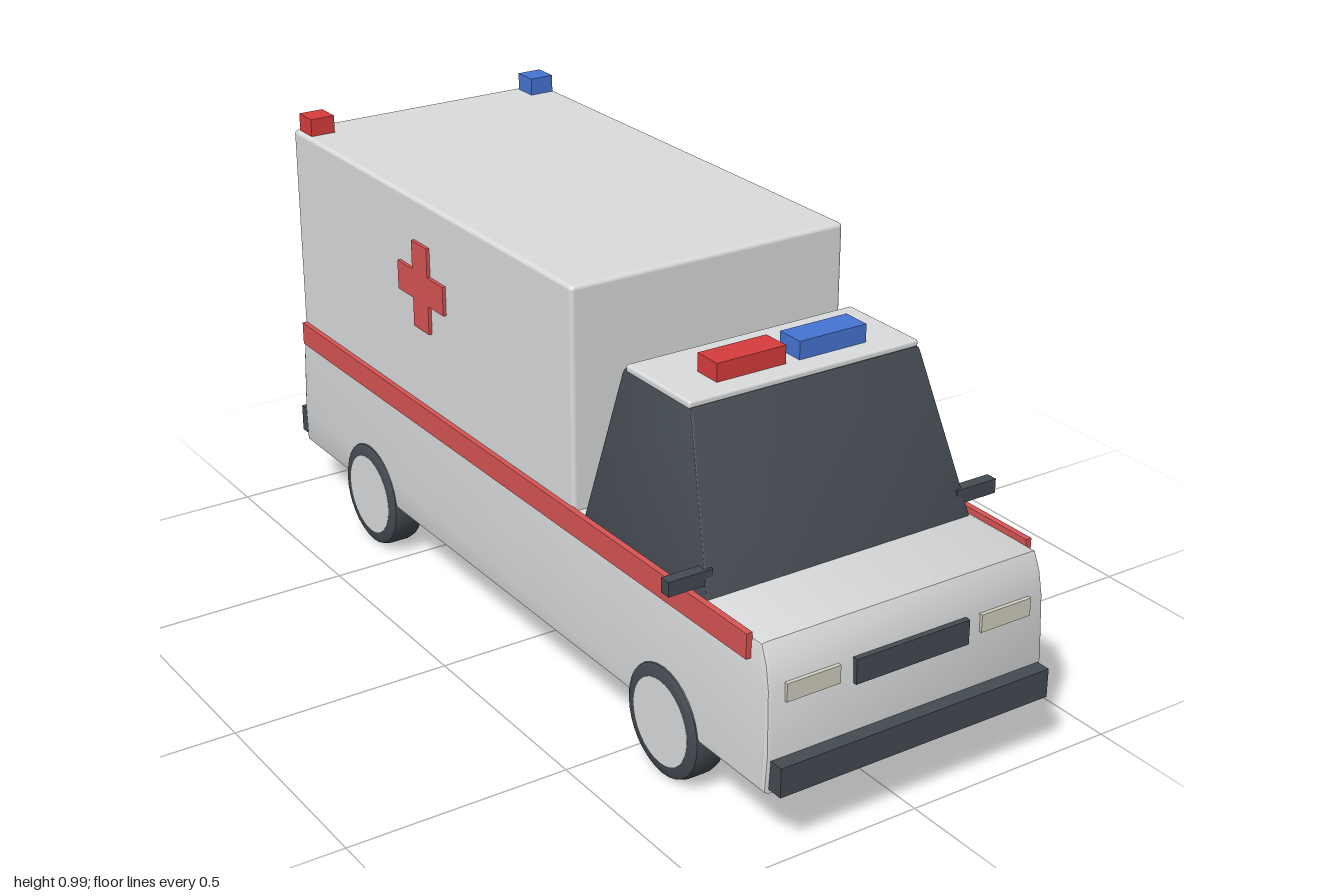
import * as THREE from 'three';
import { RoundedBoxGeometry } from 'three/addons/geometries/RoundedBoxGeometry.js';
import { toCreasedNormals } from 'three/addons/utils/BufferGeometryUtils.js';

const material = (name, color) => {
  const m = new THREE.MeshStandardMaterial({ color });
  m.name = name;
  return m;
};

export function createModel() {
  const white = material('white paint', 0xdadbdc);
  const dark = material('dark glass and rubber', 0x444b52);
  const red = material('signal red', 0xd83c3c);
  const stripeRed = material('marking red', 0xd85454);
  const blue = material('signal blue', 0x4674d2);
  const cream = material('headlight cream', 0xd2d0c0);

  const model = new THREE.Group();
  model.name = 'ambulance';

  const add = (name, geometry, mat, parent = model) => {
    const mesh = new THREE.Mesh(geometry, mat);
    mesh.name = name;
    parent.add(mesh);
    return mesh;
  };
  // Box given by its extents on each axis
  const box = (name, mat, [x0, x1], [y0, y1], [z0, z1], round = 0) => {
    const size = [x1 - x0, y1 - y0, z1 - z0];
    const geometry = round ? new RoundedBoxGeometry(...size, 3, round) : new THREE.BoxGeometry(...size);
    geometry.translate((x0 + x1) / 2, (y0 + y1) / 2, (z0 + z1) / 2);
    return add(name, geometry, mat);
  };
  const mirrored = (s, a, b) => (s > 0 ? [a, b] : [-b, -a]);

  // Lower body: side profile (z, y) extruded across the width, narrowing slightly at the top
  const profile = [[0.962, 0.135], [0.968, 0.22], [0.962, 0.36], [0.952, 0.41], [0.935, 0.45],
    [-0.94, 0.45], [-0.952, 0.41], [-0.96, 0.36], [-0.964, 0.22], [-0.96, 0.135]];
  const bevel = 0.01;
  let body = new THREE.ExtrudeGeometry(new THREE.Shape(profile.map(([z, y]) => new THREE.Vector2(z, y))), {
    depth: 0.69 - 2 * bevel, bevelEnabled: true, bevelThickness: bevel, bevelSize: bevel,
    bevelOffset: -bevel, bevelSegments: 2,
  });
  body.translate(0, 0, -0.345 + bevel).rotateY(-Math.PI / 2);
  const bp = body.attributes.position;
  for (let i = 0; i < bp.count; i++) {
    const k = THREE.MathUtils.clamp((bp.getY(i) - 0.2) / 0.25, 0, 1);
    bp.setX(i, bp.getX(i) * (1 - 0.015 * k));
  }
  body = toCreasedNormals(body, 0.5);
  add('lowerBody', body, white);

  // Patient compartment
  box('patientCompartment', white, [-0.34, 0.34], [0.44, 0.945], [-0.943, 0.283], 0.01);

  // Cab windows: rounded box tapered towards the roof
  const y0 = 0.445, y1 = 0.792;
  let cab = new RoundedBoxGeometry(2, y1 - y0, 2, 3, 0.012);
  cab.translate(0, (y0 + y1) / 2, 0);
  const cp = cab.attributes.position;
  for (let i = 0; i < cp.count; i++) {
    const t = (cp.getY(i) - y0) / (y1 - y0);
    const front = THREE.MathUtils.lerp(0.747, 0.615, t);
    const back = THREE.MathUtils.lerp(0.307, 0.382, t);
    cp.setX(i, cp.getX(i) * THREE.MathUtils.lerp(0.329, 0.281, t));
    cp.setZ(i, (front + back) / 2 + cp.getZ(i) * (front - back) / 2);
  }
  cab = toCreasedNormals(cab, 0.5);
  add('cabWindows', cab, dark);
  box('cabRoof', white, [-0.282, 0.282], [0.788, 0.805], [0.39, 0.612], 0.006);

  // Beacons on the cab and at the rear corners
  for (const s of [-1, 1]) {
    const mat = s < 0 ? red : blue;
    const side = s < 0 ? 'right' : 'left';
    box(side + 'RoofBeacon', mat, mirrored(s, 0.017, 0.184), [0.8, 0.845], [0.498, 0.564]);
    box(side + 'RearBeacon', mat, mirrored(s, 0.27, 0.33), [0.94, 0.986], [-0.928, -0.868]);
  }

  // Front and rear fittings
  box('grille', dark, [-0.14, 0.14], [0.315, 0.37], [0.95, 0.973]);
  box('frontBumper', dark, [-0.335, 0.335], [0.145, 0.21], [0.955, 1]);
  box('rearBumper', dark, [-0.335, 0.335], [0.145, 0.21], [-1, -0.955]);

  // Cross emblem made of one outline, facing +z
  const cross = (name, size, thickness) => {
    const a = size / 2, b = size / 6;
    const points = [[b, a], [-b, a], [-b, b], [-a, b], [-a, -b], [-b, -b], [-b, -a], [b, -a], [b, -b], [a, -b], [a, b], [b, b]];
    const shape = new THREE.Shape(points.map(([x, y]) => new THREE.Vector2(x, y)));
    return add(name, new THREE.ExtrudeGeometry(shape, { depth: thickness, bevelEnabled: false }), stripeRed);
  };
  const rearCross = cross('rearCross', 0.17, 0.009);
  rearCross.position.set(0, 0.788, -0.942);
  rearCross.rotation.y = Math.PI;

  // Tyre cross-section (radius, width)
  const tyre = [[0.085, -0.04], [0.112, -0.04], [0.122, -0.034], [0.126, -0.02],
    [0.126, 0.02], [0.122, 0.034], [0.112, 0.04], [0.085, 0.04]];
  const tyreGeometry = toCreasedNormals(
    new THREE.LatheGeometry(tyre.map(([r, w]) => new THREE.Vector2(r, w)), 32).rotateZ(Math.PI / 2), 0.7);
  const hubGeometry = new THREE.CylinderGeometry(0.095, 0.095, 0.081, 32).rotateZ(Math.PI / 2);

  for (const s of [-1, 1]) {
    const side = s < 0 ? 'right' : 'left';
    box(side + 'Headlight', cream, mirrored(s, 0.175, 0.302), [0.328, 0.368], [0.95, 0.969]);
    box(side + 'TailLight', red, mirrored(s, 0.19, 0.315), [0.342, 0.382], [-0.971, -0.945]);
    box(side + 'Stripe', stripeRed, mirrored(s, 0.338, 0.352), [0.405, 0.46], [-0.932, 0.905]);
    box(side + 'Mirror', dark, mirrored(s, 0.305, 0.408), [0.474, 0.506], [0.704, 0.73]);

    const sideCross = cross(side + 'Cross', 0.202, 0.009);
    sideCross.position.set(s * 0.339, 0.746, -0.33);
    sideCross.rotation.y = s * Math.PI / 2;

    for (const [end, z] of [['Front', 0.622], ['Rear', -0.615]]) {
      const wheel = new THREE.Group();
      wheel.name = side + end + 'Wheel';
      wheel.position.set(s * 0.313, 0.126, z);
      add('tyre', tyreGeometry, dark, wheel);
      add('hub', hubGeometry, white, wheel);
      model.add(wheel);
    }
  }
  return model;
}
